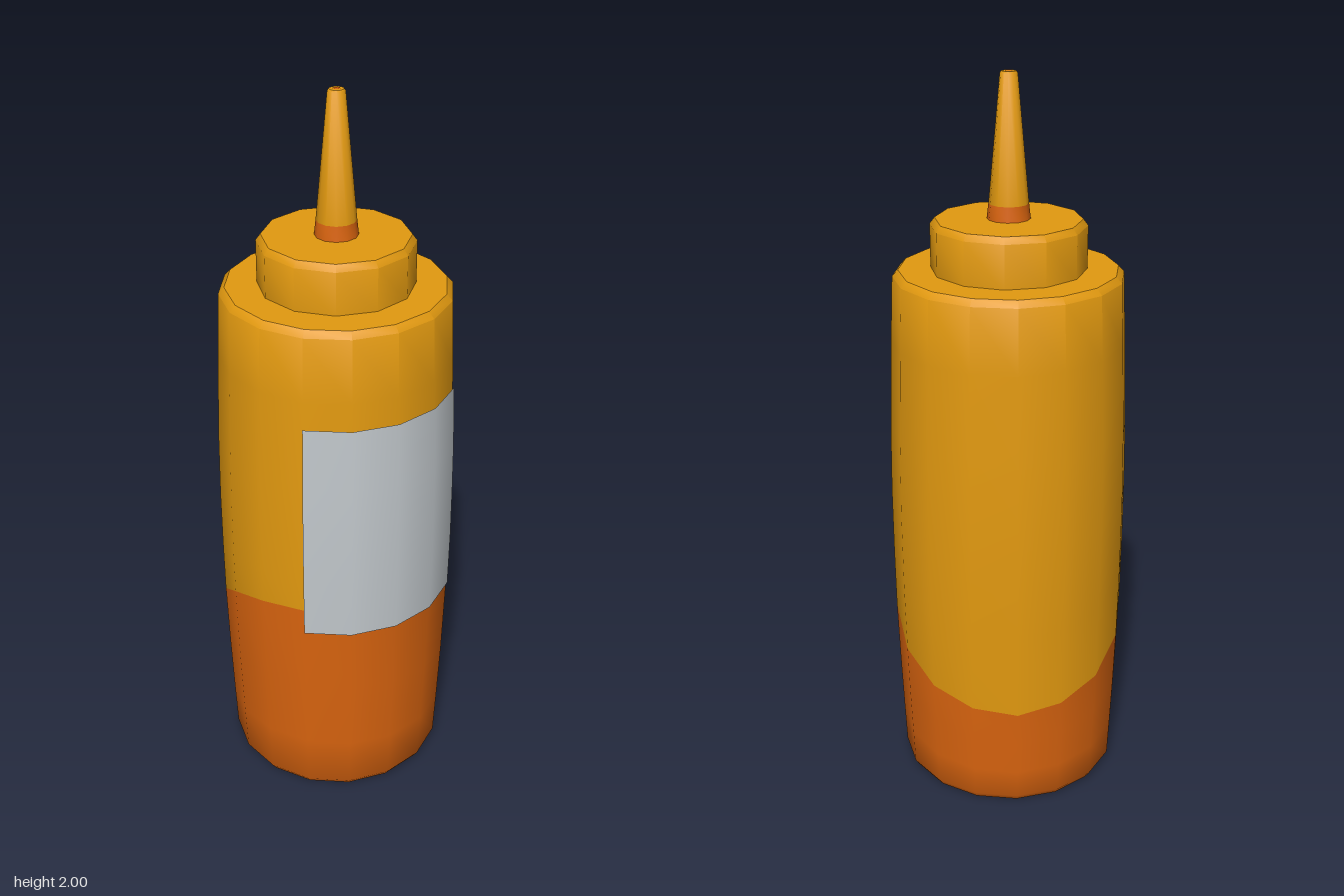
import * as THREE from 'three';
import { toCreasedNormals } from 'three/addons/utils/BufferGeometryUtils.js';

const SIDES = 16;
const CREASE = 0.75;

// Body silhouette as [height, radius]
const PROFILE = [
  [0, 0.295], [0.02, 0.309], [0.25, 0.319], [0.5, 0.327], [0.8, 0.33],
  [1.05, 0.326], [1.3, 0.317], [1.475, 0.309], [1.492, 0.293],
];

// Height of the wavy colour line at each body corner, starting at the front and turning to +x
const WAVE = [0.62, 0.6, 0.575, 0.49, 0.41, 0.35, 0.315, 0.3, 0.32, 0.36, 0.43, 0.53, 0.61, 0.65, 0.66, 0.64];

function radiusAt(y) {
  for (let i = 1; i < PROFILE.length; i++) {
    const [y0, r0] = PROFILE[i - 1];
    const [y1, r1] = PROFILE[i];
    if (y <= y1) return r0 + ((r1 - r0) * (y - y0)) / (y1 - y0);
  }
  return PROFILE[PROFILE.length - 1][1];
}

// Lathe a list of [radius, height] pairs
function lathe(points, sides, start = 0, sweep = Math.PI * 2) {
  return new THREE.LatheGeometry(points.map(([r, y]) => new THREE.Vector2(r, y)), sides, start, sweep);
}

// Part of the body: fixed rings, with the ring marked 'isLine' bent to the wave
function bodyShell(rings, isLine, blend) {
  const geo = lathe(rings, SIDES);
  const pos = geo.attributes.position;
  for (let i = 0; i < pos.count; i++) {
    const corner = Math.floor(i / rings.length) % SIDES;
    const ring = i % rings.length;
    const w = blend(ring);
    if (w === 0) continue;
    const y = isLine + (rings[ring][1] - isLine) + (WAVE[corner] - isLine) * w;
    const r = radiusAt(y);
    const a = (corner / SIDES) * Math.PI * 2;
    pos.setXYZ(i, Math.sin(a) * r, y, Math.cos(a) * r);
  }
  return toCreasedNormals(geo, CREASE);
}

export function createModel() {
  const group = new THREE.Group();
  const yellow = new THREE.MeshStandardMaterial({ name: 'mustardYellow', color: 0xe39a10 });
  const orange = new THREE.MeshStandardMaterial({ name: 'burntOrange', color: 0xd9640f });
  const grey = new THREE.MeshStandardMaterial({ name: 'labelGrey', color: 0xc2c8cc, side: THREE.DoubleSide });

  function add(name, geometry, material) {
    const mesh = new THREE.Mesh(geometry, material);
    mesh.name = name;
    group.add(mesh);
    return mesh;
  }
  const ringAt = (y) => [radiusAt(y), y];

  // Bottle body in two colours, meeting along the wavy line
  const line = 0.48;
  const lower = [[0, 0], ringAt(0), ringAt(0.02), ringAt(0.14), ringAt(0.3), ringAt(line)];
  add('lowerBody', bodyShell(lower, line, (k) => [0, 0, 0, 0.2, 0.55, 1][k]), orange);
  const upper = [ringAt(line), ringAt(0.65), ringAt(0.85), ringAt(1.05), ringAt(1.3), ringAt(1.475), ringAt(1.492), [0, 1.492]];
  add('upperBody', bodyShell(upper, line, (k) => [1, 0.6, 0.2, 0, 0, 0, 0, 0][k]), yellow);

  // Blank label wrapped round the front quarter
  const labelRings = [0.585, 0.75, 0.9, 1.05, 1.225].map((y) => [radiusAt(y) + 0.004, y]);
  add('label', lathe(labelRings, 4, -Math.PI / 4, Math.PI / 2), grey);

  // Cap
  const cap = [[0.208, 1.485], [0.208, 1.608], [0.195, 1.625], [0, 1.625]];
  add('cap', toCreasedNormals(lathe(cap, 12), CREASE), yellow);

  // Nozzle with a coloured base ring and a small opening
  add('nozzleRing', toCreasedNormals(lathe([[0.058, 1.622], [0.053, 1.665]], 12), CREASE), orange);
  const nozzle = [[0.053, 1.665], [0.023, 1.995], [0.019, 2], [0, 2]];
  add('nozzle', toCreasedNormals(lathe(nozzle, 12), CREASE), yellow);
  const opening = add('nozzleOpening', new THREE.CircleGeometry(0.01, 8), orange);
  opening.rotation.x = -Math.PI / 2;
  opening.position.y = 2.001;

  return group;
}
